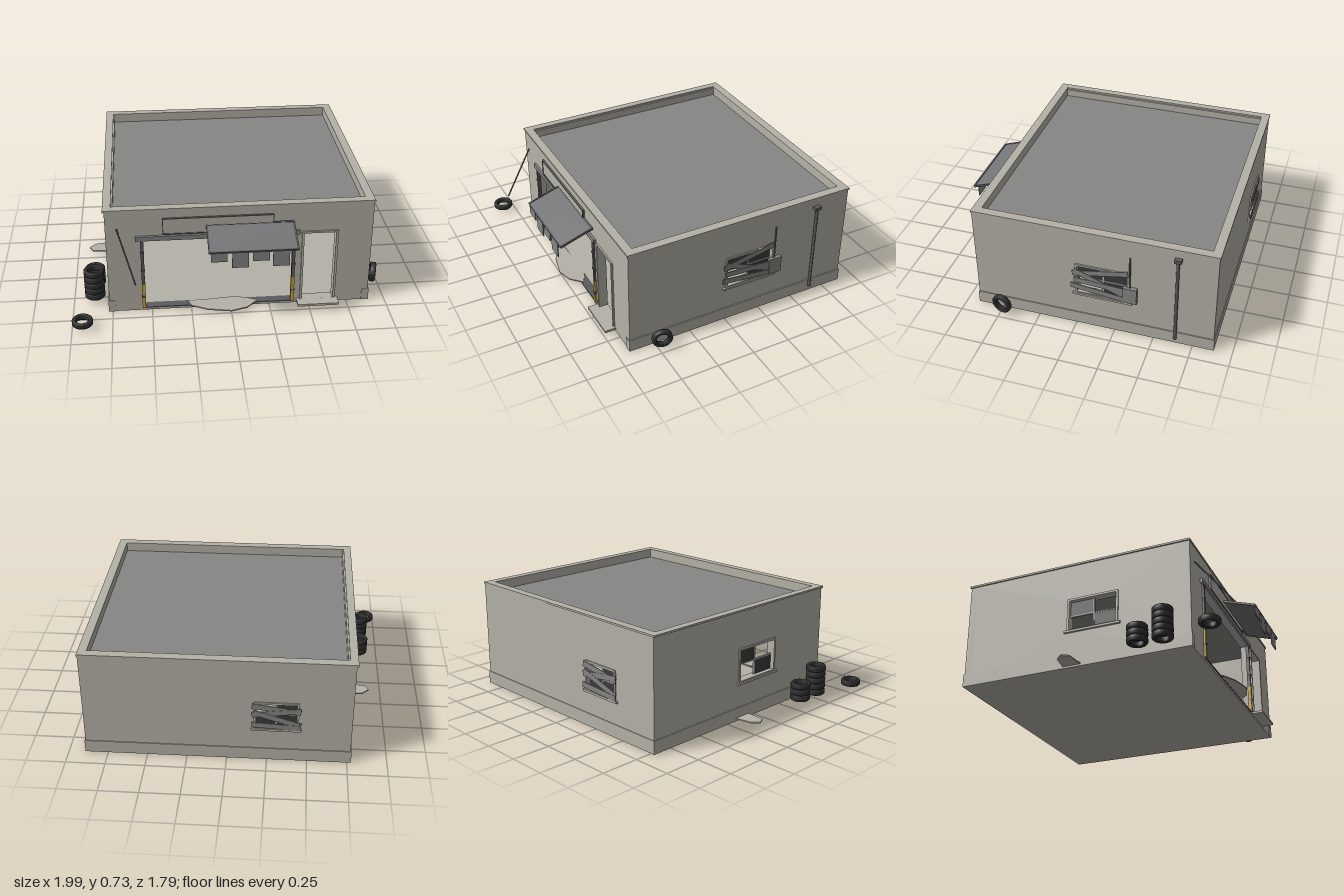
import * as THREE from 'three';

const mat = (name, color, side = THREE.FrontSide) => {
  const m = new THREE.MeshStandardMaterial({ color, side });
  m.name = name;
  return m;
};

export function createModel() {
  const root = new THREE.Group();
  root.name = 'abandonedGarage';
  const plaster = mat('plaster', 0xb5b1a7);
  const roofFelt = mat('roofFelt', 0x868685);
  const metal = mat('darkMetal', 0x5c5c5e);
  const awningMat = mat('awningSheet', 0x757476);
  const wood = mat('greyBoards', 0x858584);
  const glass = mat('darkGlass', 0x3b3b3b);
  const rubber = mat('rubber', 0x2e2e2f);
  const yellow = mat('hazardYellow', 0xcaa53c);

  const add = (name, geo, m, parent = root) => {
    const mesh = new THREE.Mesh(geo, m);
    mesh.name = name;
    parent.add(mesh);
    return mesh;
  };
  // box given by its lower and upper limits
  const box = (name, m, x0, x1, y0, y1, z0, z1, parent = root) => {
    const mesh = add(name, new THREE.BoxGeometry(x1 - x0, y1 - y0, z1 - z0), m, parent);
    mesh.position.set((x0 + x1) / 2, (y0 + y1) / 2, (z0 + z1) / 2);
    return mesh;
  };
  const rect = (P, x0, x1, y0, y1) =>
    new P([[x0, y0], [x1, y0], [x1, y1], [x0, y1]].map(p => new THREE.Vector2(...p)));
  const plate = (outline, holes, depth) => {
    const s = rect(THREE.Shape, ...outline);
    s.holes = holes.map(h => rect(THREE.Path, ...h));
    return new THREE.ExtrudeGeometry(s, { depth, bevelEnabled: false });
  };
  const rod = (name, a, b, r, m) => {
    const p = new THREE.Vector3(...a), q = new THREE.Vector3(...b), d = q.clone().sub(p);
    const mesh = add(name, new THREE.CylinderGeometry(r, r, d.length(), 10), m);
    mesh.position.copy(p).add(q).multiplyScalar(0.5);
    mesh.quaternion.setFromUnitVectors(new THREE.Vector3(0, 1, 0), d.normalize());
    return mesh;
  };

  // hollow shell: four walls with openings, floor and sunken roof
  const X0 = -0.77, X1 = 0.89, Z0 = -0.88, Z1 = 0.665, T = 0.05, H = 0.715;
  add('frontWall', plate([X0, X1, 0, H], [[-0.55, 0.4, 0.02, 0.515], [0.46, 0.66, 0.03, 0.515]], T), plaster)
    .position.z = Z1 - T;
  add('backWall', plate([X0, X1, 0, H], [[-0.43, -0.18, 0.25, 0.42]], T), plaster).position.z = Z0;
  const sideWall = (name, x, hole) => {
    const w = add(name, plate([-Z1 + T, -Z0 - T, 0, H], [hole], T), plaster);
    w.rotation.y = Math.PI / 2;
    w.position.x = x;
  };
  sideWall('rightSideWall', X1 - T, [0.01, 0.33, 0.26, 0.46]);
  sideWall('leftSideWall', X0, [-0.18, 0.14, 0.26, 0.46]);
  box('floor', plaster, X0 + T, X1 - T, 0, 0.02, Z0 + T, Z1 - T);
  box('roof', roofFelt, X0 + T, X1 - T, 0.645, 0.665, Z0 + T, Z1 - T);
  const cap = add('parapetCap', plate([-0.78, 0.895, -0.67, 0.885], [[-0.73, 0.84, -0.615, 0.83]], 0.012), plaster);
  cap.rotation.x = -Math.PI / 2;
  cap.position.y = H;

  // plinth
  box('plinthRight', plaster, X1, X1 + 0.006, 0, 0.085, Z0 - 0.005, Z1 + 0.005);
  box('plinthLeft', plaster, X0 - 0.006, X0, 0, 0.085, Z0 - 0.005, Z1 + 0.005);
  box('plinthBack', plaster, X0, X1, 0, 0.085, Z0 - 0.005, Z0);
  for (const [a, b] of [[X0, X0 + 0.035], [X1 - 0.04, X1]])
    box('plinthFront', plaster, a, b, 0, 0.08, Z1, Z1 + 0.005);

  // windows: local +z points out of the wall
  const windowUnit = (name, pos, ry, w, h, panes, boards) => {
    const g = new THREE.Group();
    g.name = name;
    g.position.set(...pos);
    g.rotation.y = ry;
    root.add(g);
    const a = w / 2, b = h / 2, f = 0.014;
    add('windowFrame', plate([-a - f, a + f, -b - f, b + f], [[-a, a, -b, b]], 0.008), plaster, g);
    box('windowSill', plaster, -a - 0.03, a + 0.03, -b - 0.022, -b - 0.008, 0, 0.016, g);
    box('mullion', plaster, -0.004, 0.004, -b, b, -0.03, -0.018, g);
    box('glazingBar', plaster, -a, a, -0.004, 0.004, -0.03, -0.018, g);
    for (const [i, j] of panes)
      box('pane', glass, i ? 0 : -a, i ? a : 0, j ? 0 : -b, j ? b : 0, -0.027, -0.021, g);
    boards.forEach(([u1, v1, u2, v2], k) => {
      const m = add('board', new THREE.BoxGeometry(Math.hypot(u2 - u1, v2 - v1), 0.036, 0.006), wood, g);
      m.position.set((u1 + u2) / 2, (v1 + v2) / 2, 0.011 + k * 0.002);
      m.rotation.z = Math.atan2(v2 - v1, u2 - u1);
    });
  };
  windowUnit('rightWindow', [X1, 0.36, -0.17], Math.PI / 2, 0.32, 0.2, [[1, 0], [1, 1], [0, 1]], [
    [-0.19, 0.045, 0.165, 0.115], [-0.18, 0.07, 0.15, -0.06], [-0.18, 0, 0.165, -0.02], [-0.2, -0.045, 0.15, -0.085]]);
  windowUnit('leftWindow', [X0, 0.36, 0.02], -Math.PI / 2, 0.32, 0.2, [[0, 1], [1, 0]], []);
  windowUnit('backWindow', [-0.305, 0.335, Z0], Math.PI, 0.25, 0.17, [[0, 0], [1, 0], [1, 1]], [
    [-0.15, 0.075, 0.15, 0.035], [-0.15, 0.01, 0.15, 0.05], [-0.14, 0.03, 0.15, -0.06], [-0.15, -0.06, 0.15, -0.075]]);

  // garage entrance: posts with painted feet, hinges and a lintel
  for (const x of [-0.55, 0.396]) {
    box('entrancePost', metal, x - 0.01, x + 0.01, 0.2, 0.515, Z1 - 0.01, Z1 + 0.012);
    box('paintedPostFoot', yellow, x - 0.011, x + 0.011, 0.02, 0.2, Z1 - 0.01, Z1 + 0.013);
    for (const y of [0.1, 0.29, 0.42])
      box('hinge', metal, x - 0.013, x + 0.013, y, y + 0.012, Z1, Z1 + 0.016);
  }
  box('lintel', wood, -0.59, 0.43, 0.513, 0.543, Z1, Z1 + 0.016);
  box('threshold', metal, -0.55, 0.4, 0.016, 0.022, Z1 - T, Z1 + 0.006);

  // side door frame and step
  add('doorFrame', plate([0.445, 0.675, 0.03, 0.527], [[0.46, 0.66, 0.02, 0.515]].map(
    ([a, b, , d]) => [a, b, 0.0301, d]), 0.01), plaster).position.z = Z1;
  box('doorStep', plaster, 0.425, 0.69, 0.015, 0.03, Z1, 0.74);

  // blank sign board with a thin rim
  box('signBoard', plaster, -0.415, 0.26, 0.558, 0.657, Z1, Z1 + 0.01);
  add('signRim', plate([-0.42, 0.265, 0.553, 0.662], [[-0.415, 0.26, 0.558, 0.657]], 0.014), metal).position.z = Z1;

  // sloping awning with torn flaps
  const awning = new THREE.Group();
  awning.name = 'awning';
  awning.position.set(0.12, 0.565, 0.775);
  awning.rotation.x = Math.atan2(0.07, 0.21);
  root.add(awning);
  box('awningSheet', awningMat, -0.265, 0.265, -0.004, 0.004, -0.112, 0.112, awning);
  for (const s of [-1, 1]) {
    box('awningSideRail', metal, s * 0.268 - 0.005, s * 0.268 + 0.005, -0.007, 0.007, -0.115, 0.115, awning);
    box('awningCrossRail', metal, -0.27, 0.27, -0.007, 0.007, s * 0.112 - 0.005, s * 0.112 + 0.005, awning);
  }
  for (const [a, b, y] of [[-0.14, -0.04, 0.465], [-0.012, 0.088, 0.42], [0.112, 0.214, 0.462], [0.235, 0.337, 0.42]])
    box('awningFlap', wood, a, b, y, 0.53, 0.878, 0.884);
  rod('brokenPole', [-0.7, 0.6, 0.67], [-0.595, 0.33, 0.885], 0.005, metal);

  // drainpipe, meter box and conduit on the right side
  rod('drainpipe', [0.905, 0.04, -0.64], [0.905, 0.65, -0.64], 0.01, metal);
  box('pipeHead', metal, 0.89, 0.92, 0.645, 0.667, -0.662, -0.618);
  box('meterBox', wood, 0.89, 0.915, 0.26, 0.372, -0.393, -0.305);
  rod('conduit', [0.897, 0.37, -0.347], [0.897, 0.6, -0.347], 0.005, metal);

  // flat broken slabs on the ground
  const slab = (name, pts, y) => {
    const s = new THREE.Shape(pts.map(([x, z]) => new THREE.Vector2(x, -z)));
    const m = add(name, new THREE.ExtrudeGeometry(s, { depth: 0.008, bevelEnabled: false }), plaster);
    m.rotation.x = -Math.PI / 2;
    m.position.y = y;
  };
  slab('frontSlab', [[-0.27, 0.63], [-0.25, 0.68], [-0.15, 0.73], [0, 0.76], [0.1, 0.73], [0.17, 0.66], [0.05, 0.6]], 0.018);
  slab('sideSlab', [[-0.76, -0.175], [-0.88, -0.155], [-0.925, -0.11], [-0.9, -0.065], [-0.76, -0.05]], 0.012);

  // tyres: lathe ring with rounded shoulders
  const tyreProfile = [[0.04, -0.014], [0.046, -0.019], [0.059, -0.019], [0.065, -0.012], [0.065, 0.012],
    [0.059, 0.019], [0.046, 0.019], [0.04, 0.014], [0.04, -0.014]].map(p => new THREE.Vector2(...p));
  const tyreGeo = new THREE.LatheGeometry(tyreProfile, 28);
  const tyre = (x, y, z) => {
    const t = add('tyre', tyreGeo, rubber);
    t.position.set(x, y, z);
    return t;
  };
  for (const [z, n] of [[0.36, 3], [0.52, 5]])
    for (let i = 0; i < n; i++) tyre(-0.865, 0.047 + i * 0.041, z);
  tyre(-0.935, 0.047, 0.83);
  const leaning = tyre(0.963, 0.086, 0.48);
  leaning.rotation.set(0, -0.22, Math.PI / 2 - 0.06);

  return root;
}
